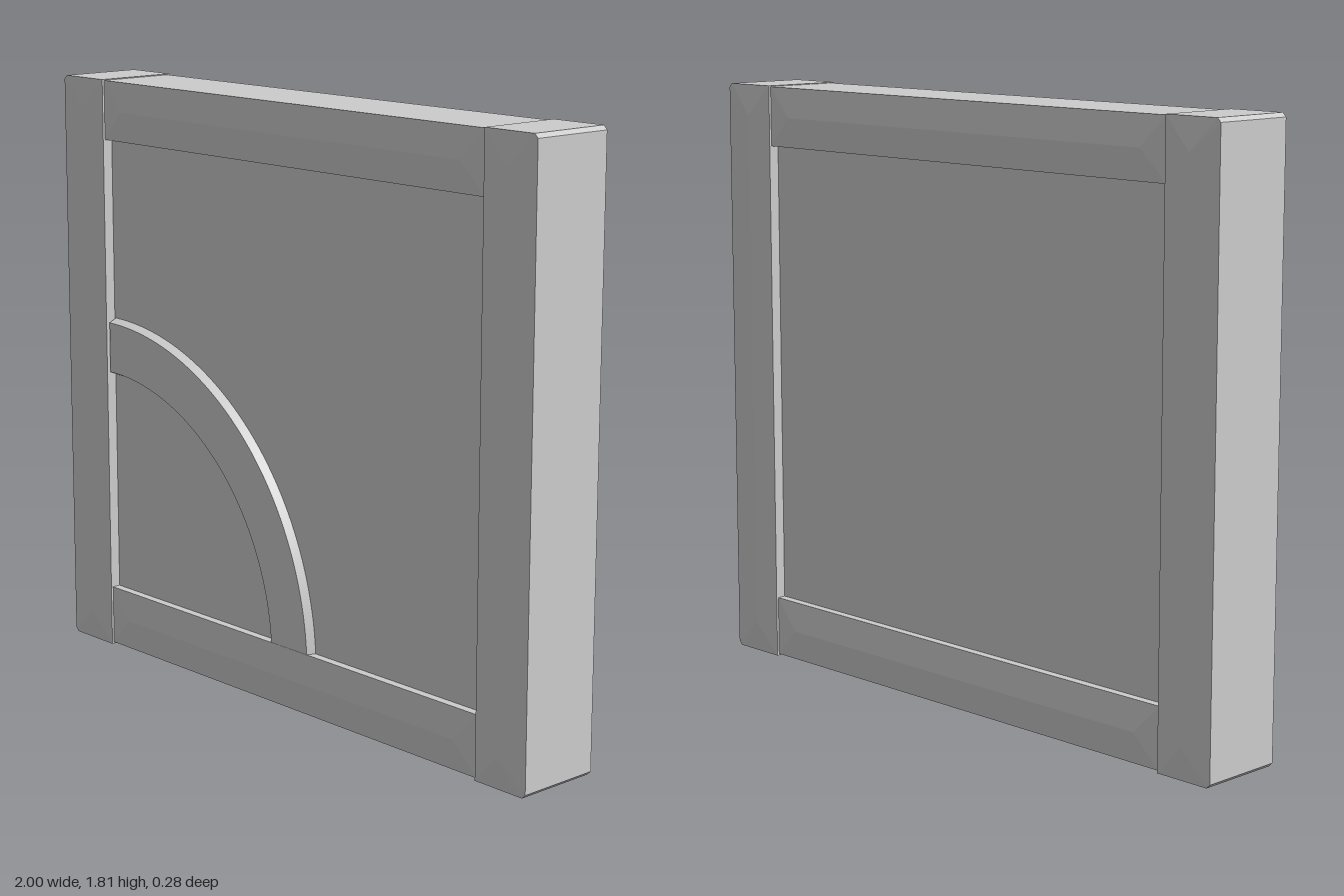
import * as THREE from 'three';
import { ConvexGeometry } from 'three/addons/geometries/ConvexGeometry.js';
import { toCreasedNormals } from 'three/addons/utils/BufferGeometryUtils.js';

const W = 1, H = 1.81, T = 0.19, INNER = W - T;

export function createModel() {
  const group = new THREE.Group();
  const material = new THREE.MeshStandardMaterial({ color: 0xcccccc });
  const flat = new THREE.MeshStandardMaterial({ color: 0xcccccc, flatShading: true });

  const add = (name, geometry, mat = material) => {
    const mesh = new THREE.Mesh(geometry, mat);
    mesh.name = name;
    group.add(mesh);
    return mesh;
  };

  // Beam with a shallow hipped ridge on its front and back
  const beam = (name, outline, ridge, edgeZ, ridgeZ) => {
    const points = [];
    for (const s of [-1, 1]) {
      for (const [x, y] of outline) points.push(new THREE.Vector3(x, y, s * edgeZ));
      for (const [x, y] of ridge) points.push(new THREE.Vector3(x, y, s * ridgeZ));
    }
    add(name, new ConvexGeometry(points), flat);
  };

  // Side posts with small chamfers on the outer corners
  const c = 0.012;
  for (const s of [-1, 1]) {
    beam(s > 0 ? 'leftPost' : 'rightPost',
      [[s * INNER, 0], [s * (W - c), 0], [s * W, c], [s * W, H - c], [s * (W - c), H], [s * INNER, H]],
      [[s * 0.9, 0.095], [s * 0.9, H - 0.095]], 0.133, 0.142);
  }

  // Top and bottom rails between the posts
  for (const [name, y0, y1] of [['bottomRail', 0.005, T], ['topRail', H - T + 0.005, H - 0.003]]) {
    const mid = (y0 + y1) / 2;
    beam(name, [[-INNER, y0], [INNER, y0], [INNER, y1], [-INNER, y1]],
      [[-0.72, mid], [0.72, mid]], 0.126, 0.135);
  }

  // Recessed panel
  add('panel', new THREE.BoxGeometry(2 * INNER + 0.02, H - 2 * T + 0.04, 0.2)).position.y = H / 2;

  // Curved brace with bevelled edges, on the front only
  const profile = [[0.93, 0.098], [0.917, 0.125], [0.76, 0.125], [0.748, 0.098]]
    .map(([r, z]) => new THREE.Vector2(r, z));
  const arc = new THREE.LatheGeometry(profile, 48, Math.PI / 2, Math.PI / 2);
  arc.rotateX(Math.PI / 2);
  add('curvedBrace', toCreasedNormals(arc, 0.5)).position.set(-0.805, 0.135, 0);

  return group;
}
